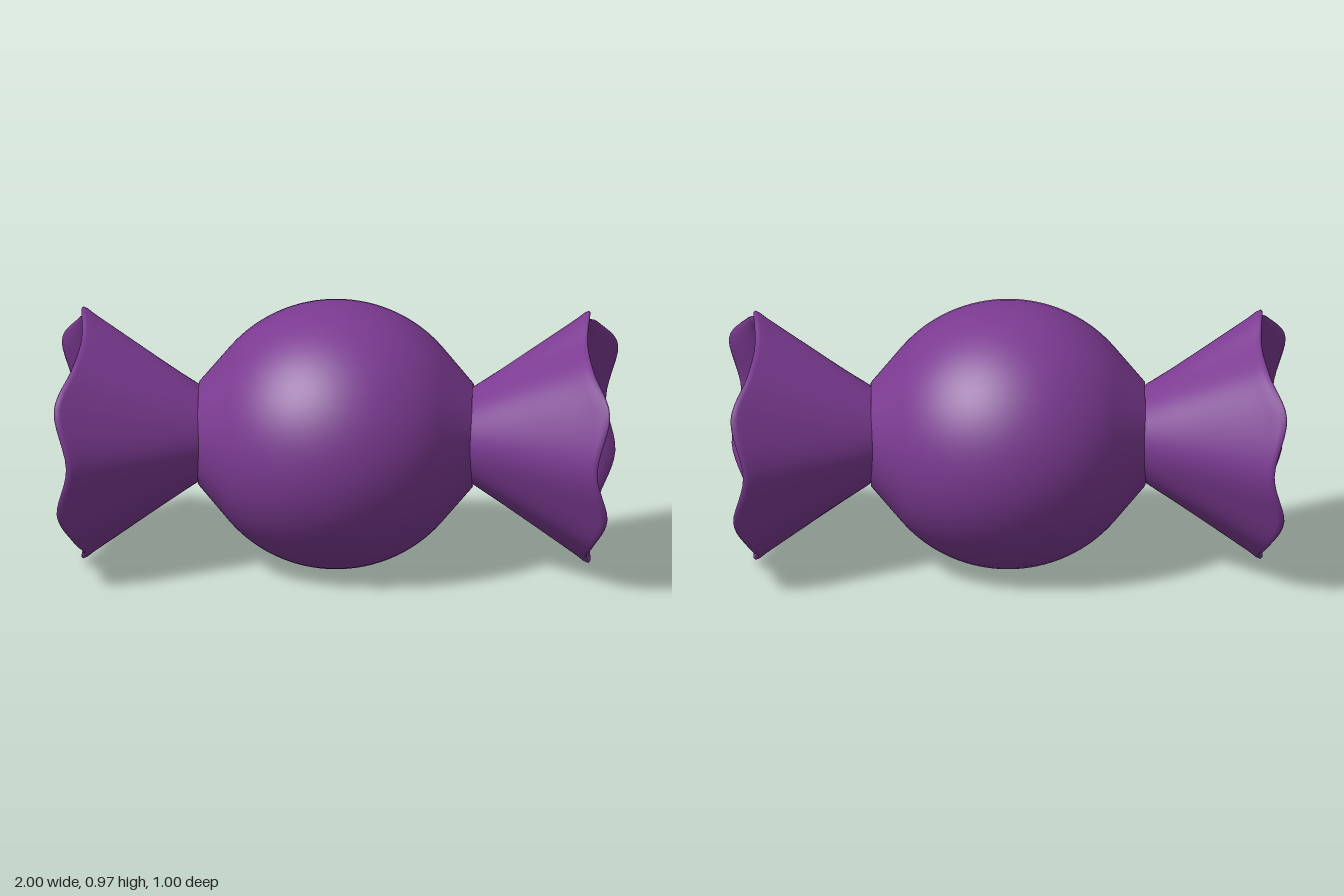
import * as THREE from 'three';

const CENTRE_Y = 0.487;

// Wavy rim of a wrapper end, as [x, y offset, z] over the front half; the back half mirrors it
const RIM = [
  [0.91, -0.472, 0], [0.90, -0.41, 0.15], [0.93, -0.325, 0.33], [0.985, -0.187, 0.455],
  [0.95, 0, 0.5],
  [0.995, 0.213, 0.465], [0.935, 0.333, 0.33], [0.905, 0.40, 0.15], [0.91, 0.468, 0],
];

// Rings from neck to rim and back inside: [blend neck to rim, scale about the axis, x shift]
const RINGS = [
  [-0.02, 0.97, 0], [0.02, 1, 0], [0.25, 1, 0], [0.5, 1, 0], [0.75, 1, 0], [0.9, 1, 0],
  [0.96, 1.005, 0], [0.99, 1, 0.002], [1, 0.98, 0.004], [0.99, 0.95, 0.002],
  [0.95, 0.925, 0], [0.85, 0.9, 0], [0.65, 0.87, 0], [0.45, 0.8, 0],
  [0.25, 0.65, 0], [0.14, 0.42, 0], [0.1, 0.2, 0], [0.09, 0.001, 0],
];

function wrapperGeometry() {
  const back = RIM.slice(1, -1).reverse().map(([x, y, z]) => [x, y, -z]);
  const curve = new THREE.CatmullRomCurve3(
    [...RIM, ...back].map(p => new THREE.Vector3(...p)), true, 'centripetal');
  const n = 96;
  const rim = curve.getPoints(n).slice(0, n);
  const positions = [], index = [];
  RINGS.forEach(([t, scale, shift], i) => {
    rim.forEach((p, j) => {
      const a = Math.atan2(p.y, p.z);
      const x = THREE.MathUtils.lerp(0.488, p.x, t) + shift;
      const y = THREE.MathUtils.lerp(0.17 * Math.sin(a), p.y, t) * scale;
      const z = THREE.MathUtils.lerp(0.2 * Math.cos(a), p.z, t) * scale;
      positions.push(x, y, z);
      if (i < RINGS.length - 1) {
        const k = (j + 1) % n;
        const q = i * n + j, r = i * n + k;
        index.push(q, q + n, r, r, q + n, r + n);
      }
    });
  });
  const g = new THREE.BufferGeometry();
  g.setAttribute('position', new THREE.Float32BufferAttribute(positions, 3));
  g.setIndex(index);
  g.computeVertexNormals();
  return g;
}

// Round sweet whose ends taper straight into the twists
function bodyGeometry() {
  const profile = [new THREE.Vector2(0.192, -0.492)];
  const end = 0.38 / 0.5;
  for (let i = 0; i <= 32; i++) {
    const a = Math.asin(end) * (i / 16 - 1);
    profile.push(new THREE.Vector2(0.5 * Math.cos(a), 0.5 * Math.sin(a)));
  }
  profile.push(new THREE.Vector2(0.192, 0.492));
  const g = new THREE.LatheGeometry(profile, 64);
  g.rotateZ(-Math.PI / 2);
  g.scale(1, 0.968, 1);
  return g;
}

export function createModel() {
  const group = new THREE.Group();
  group.name = 'wrappedSweet';
  const foil = new THREE.MeshStandardMaterial({ color: 0x7b3a91, side: THREE.DoubleSide });
  foil.name = 'purple wrapper';

  const body = new THREE.Mesh(bodyGeometry(), foil);
  body.name = 'body';
  body.position.y = CENTRE_Y;
  group.add(body);

  // Matching flared wrapper ends
  const flare = wrapperGeometry();
  for (const [name, turn] of [['leftWrapperEnd', 0], ['rightWrapperEnd', Math.PI]]) {
    const mesh = new THREE.Mesh(flare, foil);
    mesh.name = name;
    mesh.position.y = CENTRE_Y;
    mesh.rotation.y = turn;
    group.add(mesh);
  }
  return group;
}
